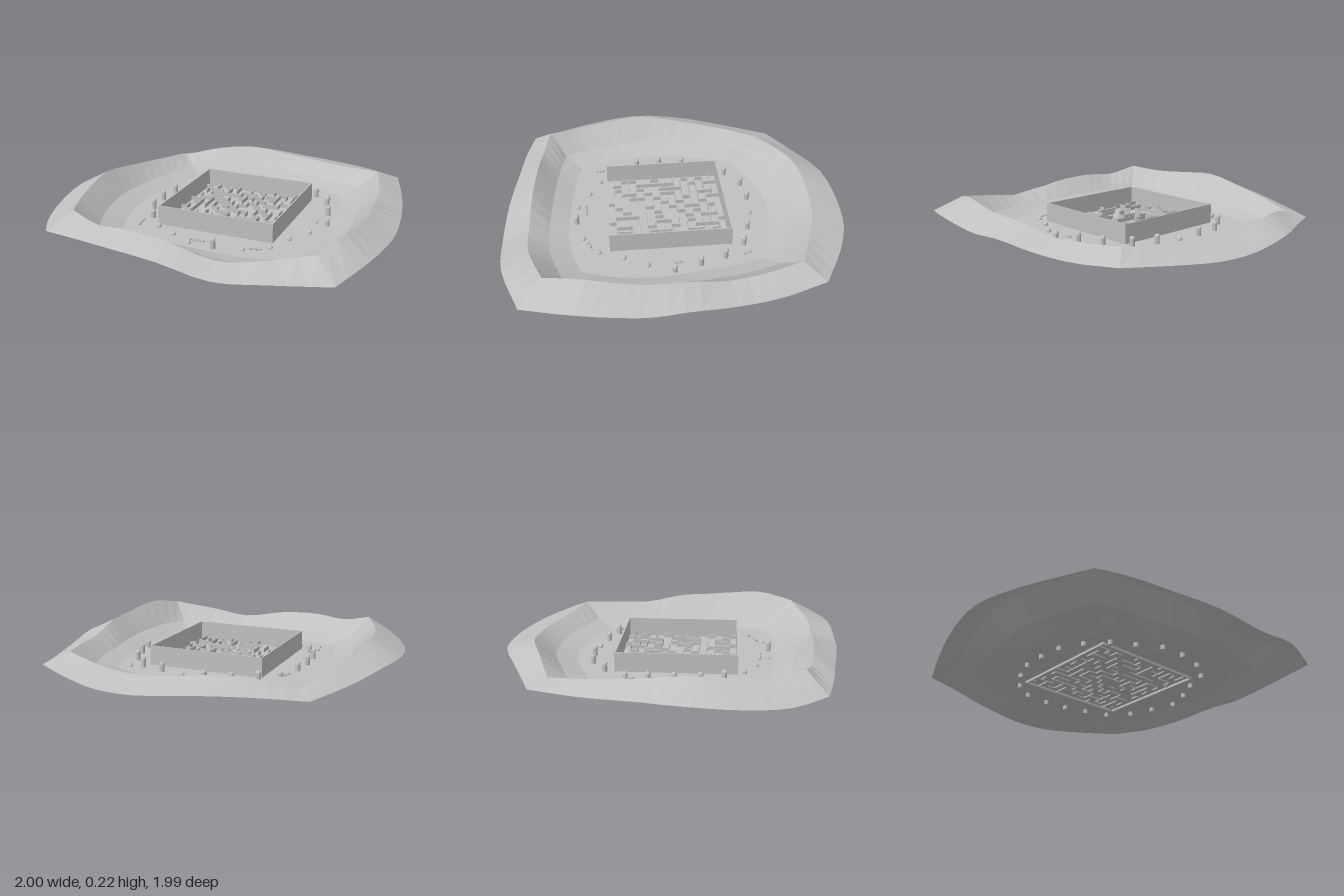
import * as THREE from 'three';
import { mergeGeometries } from 'three/addons/utils/BufferGeometryUtils.js';

const stone = new THREE.MeshStandardMaterial({ color: 0xc0c0c0, flatShading: true, side: THREE.DoubleSide });
stone.name = 'pale stone';

function part(name, geometries) {
  const mesh = new THREE.Mesh(mergeGeometries(geometries), stone);
  mesh.name = name;
  return mesh;
}

// Box given by its limits in x, y and z
function block(x0, x1, y0, y1, z0, z1) {
  return new THREE.BoxGeometry(x1 - x0, y1 - y0, z1 - z0)
    .translate((x0 + x1) / 2, (y0 + y1) / 2, (z0 + z1) / 2);
}

function seeded(seed) {
  return () => (seed = (seed * 16807) % 2147483647) / 2147483647;
}

// Crest and outer edge of the rim, one curve for each side: front, right, back, left
const crest = [
  [[-.67, .19, .73], [-.49, .15, .775], [-.3, .165, .8], [-.05, .15, .825], [.23, .1, .84], [.45, .13, .83], [.73, .18, .745]],
  [[.73, .18, .745], [.8, .215, .55], [.835, .2, .35], [.845, .185, .2], [.83, .175, 0], [.8, .135, -.22], [.76, .14, -.45], [.7, .15, -.645]],
  [[.7, .15, -.645], [.45, .125, -.74], [.25, .12, -.8], [.05, .13, -.82], [-.2, .16, -.8], [-.42, .15, -.72], [-.645, .1, -.63]],
  [[-.645, .1, -.63], [-.73, .13, -.4], [-.79, .16, -.15], [-.825, .195, .12], [-.8, .18, .35], [-.75, .17, .55], [-.67, .19, .73]],
];
const edge = [
  [[-.785, .09, .84], [-.58, .1, .885], [-.35, .1, .92], [-.04, .095, .965], [.27, .06, .99], [.55, .09, .975], [.86, .09, .87]],
  [[.86, .09, .87], [.95, .115, .62], [.99, .115, .4], [1, .105, .2], [.985, .11, 0], [.945, .085, -.25], [.89, .075, -.5], [.81, .09, -.755]],
  [[.81, .09, -.755], [.56, .08, -.89], [.33, .07, -.975], [.1, .075, -1], [-.2, .1, -.965], [-.46, .09, -.85], [-.735, .065, -.72]],
  [[-.735, .065, -.72], [-.86, .08, -.42], [-.95, .1, -.13], [-1, .1, .15], [-.97, .08, .43], [-.9, .07, .65], [-.785, .09, .84]],
];

function ringFrom(sides, steps = 18) {
  return sides.flatMap(points => {
    const curve = new THREE.CatmullRomCurve3(points.map(p => new THREE.Vector3(...p)));
    return curve.getPoints(steps).slice(0, steps);
  });
}

// Bowl: outer slope, crest, two inner slopes and a flat floor
function terrain() {
  const ridge = ringFrom(crest);
  const inset = (s, height) => ridge.map(p => new THREE.Vector3(
    .02 + (p.x - .02) * s, height(p.y), .04 + (p.z - .04) * s));
  const rings = [ringFrom(edge), ridge,
    inset(.86, y => .06 + (y - .14) * .2), inset(.72, () => .027), inset(0, () => .025)];
  const n = ridge.length, position = [], index = [];
  rings.forEach(ring => ring.forEach(p => position.push(p.x, p.y, p.z)));
  for (let r = 0; r < rings.length - 1; r++) {
    for (let i = 0; i < n; i++) {
      const a = r * n + i, b = r * n + (i + 1) % n;
      index.push(a, b, b + n, a, b + n, a + n);
    }
  }
  const geometry = new THREE.BufferGeometry();
  geometry.setAttribute('position', new THREE.Float32BufferAttribute(position, 3));
  geometry.setIndex(index);
  geometry.computeVertexNormals();
  const mesh = new THREE.Mesh(geometry, stone);
  mesh.name = 'terrainBowl';
  return mesh;
}

const X0 = -.33, X1 = .37, Z0 = -.315, Z1 = .385;

// Tall enclosure around the maze
function mazeEnclosure() {
  const t = .008, y0 = .012, y1 = .14;
  return part('mazeEnclosure', [
    block(X0, X1, y0, y1, Z0, Z0 + t), block(X0, X1, y0, y1, Z1 - t, Z1),
    block(X0, X0 + t, y0, y1, Z0, Z1), block(X1 - t, X1, y0, y1, Z0, Z1),
  ]);
}

// Low walls between cells, carved by a depth-first walk
function mazeWalls() {
  const N = 15, random = seeded(4711), cell = (X1 - X0) / N, t = .004;
  const seen = new Set([0]), open = new Set(), stack = [0];
  while (stack.length) {
    const c = stack[stack.length - 1], x = c % N, z = Math.floor(c / N);
    const next = [[1, 0], [-1, 0], [0, 1], [0, -1]]
      .map(([dx, dz]) => [x + dx, z + dz])
      .filter(([u, v]) => u >= 0 && v >= 0 && u < N && v < N && !seen.has(v * N + u))
      .map(([u, v]) => v * N + u);
    if (!next.length) { stack.pop(); continue; }
    const d = next[Math.floor(random() * next.length)];
    open.add(Math.min(c, d) + '-' + Math.max(c, d));
    seen.add(d);
    stack.push(d);
  }
  const walls = [];
  for (let z = 0; z < N; z++) {
    for (let x = 0; x < N; x++) {
      const c = z * N + x, px = X0 + x * cell, pz = Z0 + z * cell;
      if (x < N - 1 && !open.has(c + '-' + (c + 1)) && random() > .12)
        walls.push(block(px + cell - t / 2, px + cell + t / 2, .018, .05, pz, pz + cell));
      if (z < N - 1 && !open.has(c + '-' + (c + N)) && random() > .12)
        walls.push(block(px, px + cell, .018, .05, pz + cell - t / 2, pz + cell + t / 2));
    }
  }
  return part('mazeWalls', walls);
}

// Ring of domed posts: x, z, height of the top
const posts = [
  [-.33, -.37, .085], [-.205, -.455, .085], [-.05, -.47, .085], [.095, -.46, .05], [.235, -.425, .085],
  [.38, -.38, .09], [.485, -.26, .09], [.535, -.115, .09], [.575, .035, .075], [.515, .18, .05],
  [.44, .31, .05], [.38, .45, .045], [.25, .535, .045], [.095, .57, .09], [-.055, .565, .045],
  [-.185, .49, .045], [-.31, .42, .05], [-.405, .31, .08], [-.47, .18, .09], [-.48, .035, .09],
  [-.47, -.11, .085], [-.415, -.245, .06],
];

function postRing() {
  const r = .014;
  return part('postRing', posts.flatMap(([x, z, top]) => [
    new THREE.CylinderGeometry(r, r, top - r, 10).translate(x, (top - r) / 2, z),
    new THREE.SphereGeometry(r * 1.2, 10, 4, 0, Math.PI * 2, 0, Math.PI / 2).translate(x, top - r * 1.2, z),
  ]));
}

// Short rows of small stones: start x, z, end x, z, count
const rows = [
  [-.43, -.24, -.445, -.18, 4], [.45, -.405, .468, -.37, 3], [.503, -.003, .506, .025, 3],
  [-.44, .37, -.43, .44, 5], [-.065, .515, .012, .515, 5], [.285, .505, .34, .49, 4],
];

function rubble() {
  const stones = [];
  for (const [x0, z0, x1, z1, count] of rows) {
    for (let i = 0; i < count; i++) {
      const k = i / (count - 1), r = i % 2 ? .008 : .011;
      stones.push(new THREE.IcosahedronGeometry(r, 0).rotateY(i)
        .translate(x0 + (x1 - x0) * k, .025 + r * .6, z0 + (z1 - z0) * k));
    }
  }
  return part('rubble', stones);
}

export function createModel() {
  const model = new THREE.Group();
  model.name = 'mazeInBowl';
  model.add(terrain(), mazeEnclosure(), mazeWalls(), postRing(), rubble());
  return model;
}
